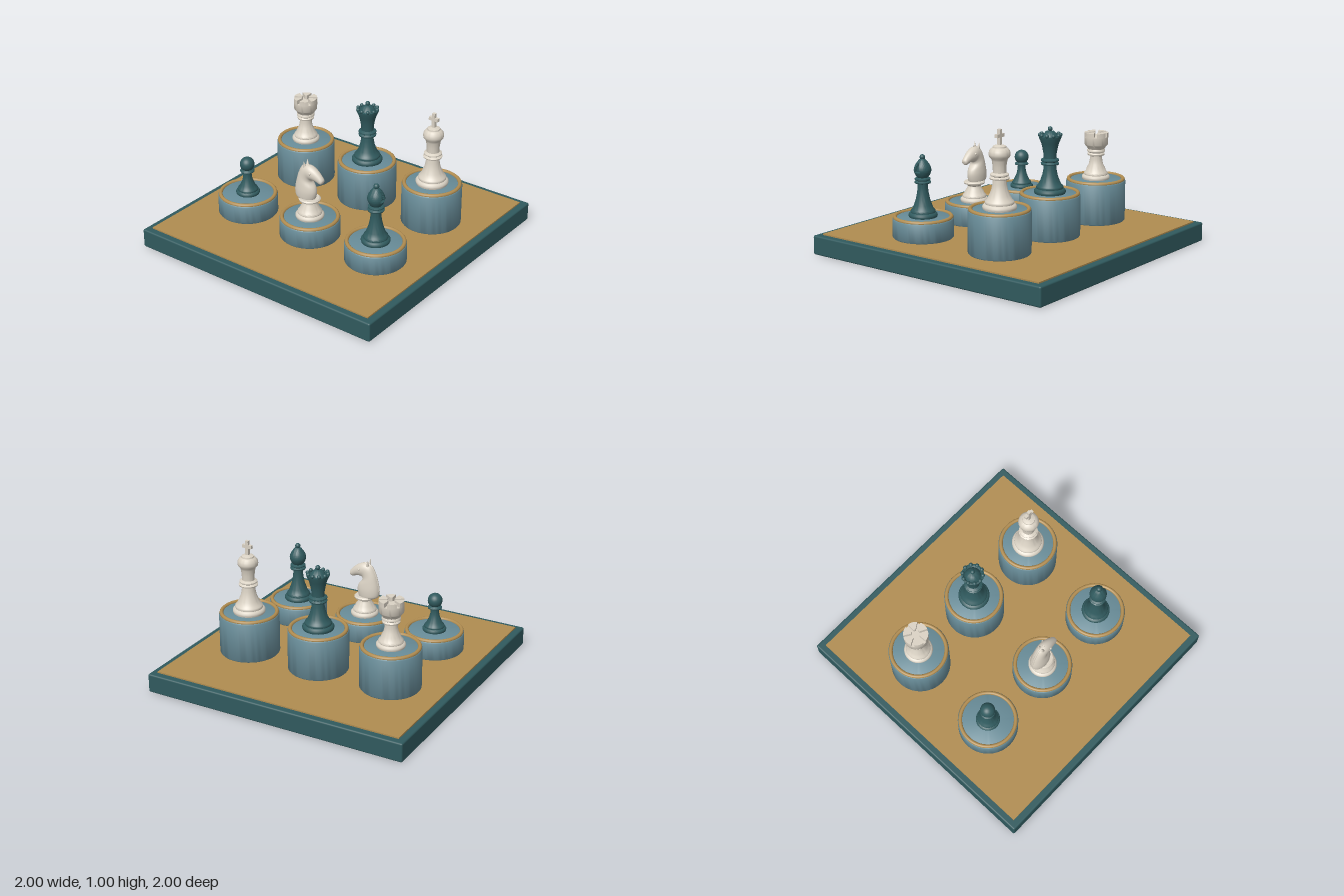
import * as THREE from 'three';
import { toCreasedNormals } from 'three/addons/utils/BufferGeometryUtils.js';
import { RoundedBoxGeometry } from 'three/addons/geometries/RoundedBoxGeometry.js';

const mat = (name, color) => Object.assign(new THREE.MeshStandardMaterial({ color }), { name });

export function createModel() {
  const teal = mat('teal', 0x305a5e);
  const gold = mat('gold', 0xb08c50);
  const blue = mat('blue', 0x688c98);
  const cream = mat('cream', 0xdad2c4);
  const model = new THREE.Group();
  model.name = 'chessDisplay';

  const add = (parent, name, geo, material, x = 0, y = 0, z = 0) => {
    const mesh = new THREE.Mesh(geo, material);
    mesh.name = name;
    mesh.position.set(x, y, z);
    parent.add(mesh);
    return mesh;
  };
  const lathe = (pts, seg = 48) =>
    toCreasedNormals(new THREE.LatheGeometry(pts.map(p => new THREE.Vector2(...p)), seg), 0.7);
  const ball = (r) => new THREE.SphereGeometry(r, 24, 16);

  // Board
  add(model, 'board', new RoundedBoxGeometry(2, 0.14, 2, 3, 0.012), teal, 0, 0.07, 0);
  add(model, 'boardPanel', new THREE.BoxGeometry(1.9, 0.02, 1.9), gold, 0, 0.14, 0);

  // Round pedestal with gilded rim; returns a group standing on its top
  const stand = (name, x, z, top) => {
    const h = top - 0.15;
    add(model, name + 'Pedestal', lathe([[0, 0], [0.21, 0], [0.216, 0.008], [0.216, h - 0.018],
      [0.211, h - 0.01], [0.2, h - 0.005], [0, h - 0.005]], 64), blue, x, 0.15, z);
    const rim = new THREE.TorusGeometry(0.198, 0.014, 12, 64).rotateX(Math.PI / 2);
    add(model, name + 'Rim', rim, gold, x, top - 0.006, z);
    const g = new THREE.Group();
    g.name = name;
    g.position.set(x, top - 0.004, z);
    model.add(g);
    return g;
  };

  // Stepped foot shared by every piece, scaled by its radius
  const foot = (r) => [[0, 0], [0.97, 0], [1, 0.08], [1, 0.18], [0.93, 0.27], [0.84, 0.32],
    [0.86, 0.4], [0.83, 0.48], [0.73, 0.56]].map(p => [p[0] * r, p[1] * r]);

  // Pawn
  const pawn = stand('pawn', -0.57, 0.34, 0.30);
  add(pawn, 'pawnBody', lathe([...foot(0.086), [0.052, 0.07], [0.039, 0.1], [0.032, 0.13],
    [0.029, 0.16], [0.03, 0.168], [0.05, 0.173], [0.052, 0.18], [0.045, 0.187], [0.03, 0.195], [0, 0.2]]), teal);
  add(pawn, 'pawnHead', ball(0.053), teal, 0, 0.231, 0);

  // Rook: hollowed tower head with six merlons
  const rook = stand('rook', -0.57, -0.34, 0.46);
  add(rook, 'rookBody', lathe([...foot(0.102), [0.065, 0.085], [0.052, 0.11], [0.045, 0.145],
    [0.044, 0.17], [0.06, 0.176], [0.063, 0.186], [0.054, 0.196], [0.066, 0.204], [0.066, 0.213],
    [0.06, 0.222], [0.068, 0.235], [0.08, 0.25], [0.086, 0.258], [0.087, 0.312], [0, 0.312]]), cream);
  const merlon = new THREE.Shape();
  const half = 0.39;
  merlon.absarc(0, 0, 0.087, -half, half, false);
  merlon.absarc(0, 0, 0.03, half * 0.6, -half * 0.6, true);
  merlon.closePath();
  const merlonGeo = toCreasedNormals(new THREE.ExtrudeGeometry(merlon,
    { depth: 0.034, bevelEnabled: false, curveSegments: 10 }).rotateX(-Math.PI / 2), 0.6);
  for (let i = 0; i < 6; i++)
    add(rook, 'rookMerlon', merlonGeo, cream, 0, 0.31, 0).rotation.y = i * Math.PI / 3;

  // Queen
  const queen = stand('queen', 0, -0.34, 0.46);
  add(queen, 'queenBody', lathe([...foot(0.112), [0.068, 0.09], [0.054, 0.13], [0.046, 0.17],
    [0.043, 0.2], [0.062, 0.205], [0.065, 0.214], [0.052, 0.224], [0.064, 0.232], [0.064, 0.24],
    [0.045, 0.25], [0.046, 0.28], [0.053, 0.32], [0.063, 0.36], [0.078, 0.393], [0.08, 0.408],
    [0.068, 0.41], [0.058, 0.4], [0.05, 0.415], [0.034, 0.434], [0.012, 0.444], [0, 0.445]]), teal);
  for (let i = 0; i < 10; i++) {
    const a = i * Math.PI / 5;
    add(queen, 'crownBead', ball(0.014), teal, Math.sin(a) * 0.072, 0.415, Math.cos(a) * 0.072);
  }
  add(queen, 'queenFinial', ball(0.017), teal, 0, 0.457, 0);

  // King
  const king = stand('king', 0.57, -0.34, 0.46);
  add(king, 'kingBody', lathe([...foot(0.117), [0.072, 0.095], [0.057, 0.13], [0.049, 0.17],
    [0.046, 0.2], [0.066, 0.206], [0.069, 0.215], [0.054, 0.225], [0.064, 0.232], [0.064, 0.24],
    [0.045, 0.25], [0.046, 0.29], [0.052, 0.33], [0.057, 0.345], [0.07, 0.358], [0.074, 0.375],
    [0.07, 0.397], [0.058, 0.413], [0.046, 0.42], [0.044, 0.43], [0.02, 0.438], [0, 0.44]]), cream);
  add(king, 'crossUpright', new THREE.BoxGeometry(0.024, 0.115, 0.024), cream, 0, 0.486, 0);
  add(king, 'crossArm', new THREE.BoxGeometry(0.074, 0.024, 0.0238), cream, 0, 0.5, 0);

  // Bishop: the mitre has a notch pressed into one side
  const bishop = stand('bishop', 0.57, 0.34, 0.30);
  add(bishop, 'bishopBody', lathe([...foot(0.102), [0.064, 0.085], [0.05, 0.125], [0.041, 0.17],
    [0.036, 0.21], [0.037, 0.235], [0.056, 0.241], [0.059, 0.25], [0.045, 0.259], [0.056, 0.266],
    [0.056, 0.274], [0.038, 0.282], [0, 0.285]]), teal);
  const mitrePts = new THREE.SplineCurve([[0.036, 0.278], [0.05, 0.298], [0.061, 0.328], [0.056, 0.358],
    [0.04, 0.386], [0.022, 0.408], [0.001, 0.418]].map(p => new THREE.Vector2(...p))).getPoints(32);
  const mitre = new THREE.LatheGeometry(mitrePts, 72);
  const mp = mitre.attributes.position;
  for (let i = 0; i < mp.count; i++) {
    const x = mp.getX(i), y = mp.getY(i), z = mp.getZ(i);
    if (x > 0 && y > 0.32 && y < 0.385 && Math.abs(z) < 0.018 * (0.395 - y) / 0.06) mp.setX(i, x - 0.018);
  }
  add(bishop, 'bishopMitre', toCreasedNormals(mitre, 0.7), teal);
  add(bishop, 'bishopFinial', ball(0.02), teal, 0, 0.424, 0);

  // Knight: turned foot with a horse head lofted from oval sections
  const knight = stand('knight', 0, 0.34, 0.30);
  add(knight, 'knightFoot', lathe([...foot(0.102), [0.066, 0.08], [0.052, 0.1], [0.047, 0.115],
    [0.055, 0.125], [0.075, 0.132], [0.078, 0.142], [0.07, 0.15], [0, 0.15]]), cream);
  // back x, back y, front x, front y, half thickness
  const sections = [
    [-0.09, 0.14, 0.04, 0.14, 0.048], [-0.112, 0.155, 0.047, 0.152, 0.054],
    [-0.118, 0.2, 0.056, 0.2, 0.057], [-0.106, 0.27, 0.046, 0.238, 0.052],
    [-0.085, 0.335, 0.018, 0.273, 0.044], [-0.052, 0.388, 0.02, 0.292, 0.042],
    [-0.002, 0.405, 0.04, 0.297, 0.042], [0.05, 0.388, 0.068, 0.293, 0.035],
    [0.1, 0.348, 0.088, 0.285, 0.027], [0.12, 0.322, 0.104, 0.284, 0.022],
    [0.122, 0.31, 0.114, 0.289, 0.012]];
  const n = 24, pos = [], idx = [];
  const spine = new THREE.CatmullRomCurve3(sections.map(s => new THREE.Vector3(s[0], s[1], s[4])));
  const throat = new THREE.CatmullRomCurve3(sections.map(s => new THREE.Vector3(s[2], s[3], 0)));
  const rings = 40;
  for (let i = 0; i <= rings; i++) {
    const b = spine.getPoint(i / rings), f = throat.getPoint(i / rings);
    for (let j = 0; j < n; j++) {
      const a = j / n * Math.PI * 2, c = (1 + Math.cos(a)) / 2;
      pos.push(b.x + (f.x - b.x) * c, b.y + (f.y - b.y) * c, Math.sin(a) * b.z);
      const k = i * n + j, m = i * n + (j + 1) % n;
      if (i < rings) idx.push(k, k + n, m, m, k + n, m + n);
    }
  }
  for (let j = 1; j < n - 1; j++) {
    const e = rings * n;
    idx.push(e, e + j + 1, e + j, 0, j, j + 1);
  }
  const head = new THREE.BufferGeometry();
  head.setAttribute('position', new THREE.Float32BufferAttribute(pos, 3));
  head.setIndex(idx);
  head.computeVertexNormals();
  cream.side = THREE.DoubleSide;
  add(knight, 'knightHead', head, cream);
  for (const s of [-1, 1]) {
    const ear = add(knight, 'knightEar', new THREE.ConeGeometry(0.016, 0.06, 12), cream, -0.03, 0.405, s * 0.018);
    ear.rotation.set(s * 0.15, 0, 0.15);
    add(knight, 'knightEye', ball(0.009), cream, 0.03, 0.358, s * 0.038);
  }
  // Mane ridge along the neck
  const mane = new THREE.CatmullRomCurve3(sections.slice(2, 7).map(s => new THREE.Vector3(s[0] + 0.004, s[1] - 0.003, 0)));
  add(knight, 'knightMane', new THREE.TubeGeometry(mane, 24, 0.009, 8), cream);

  return model;
}
